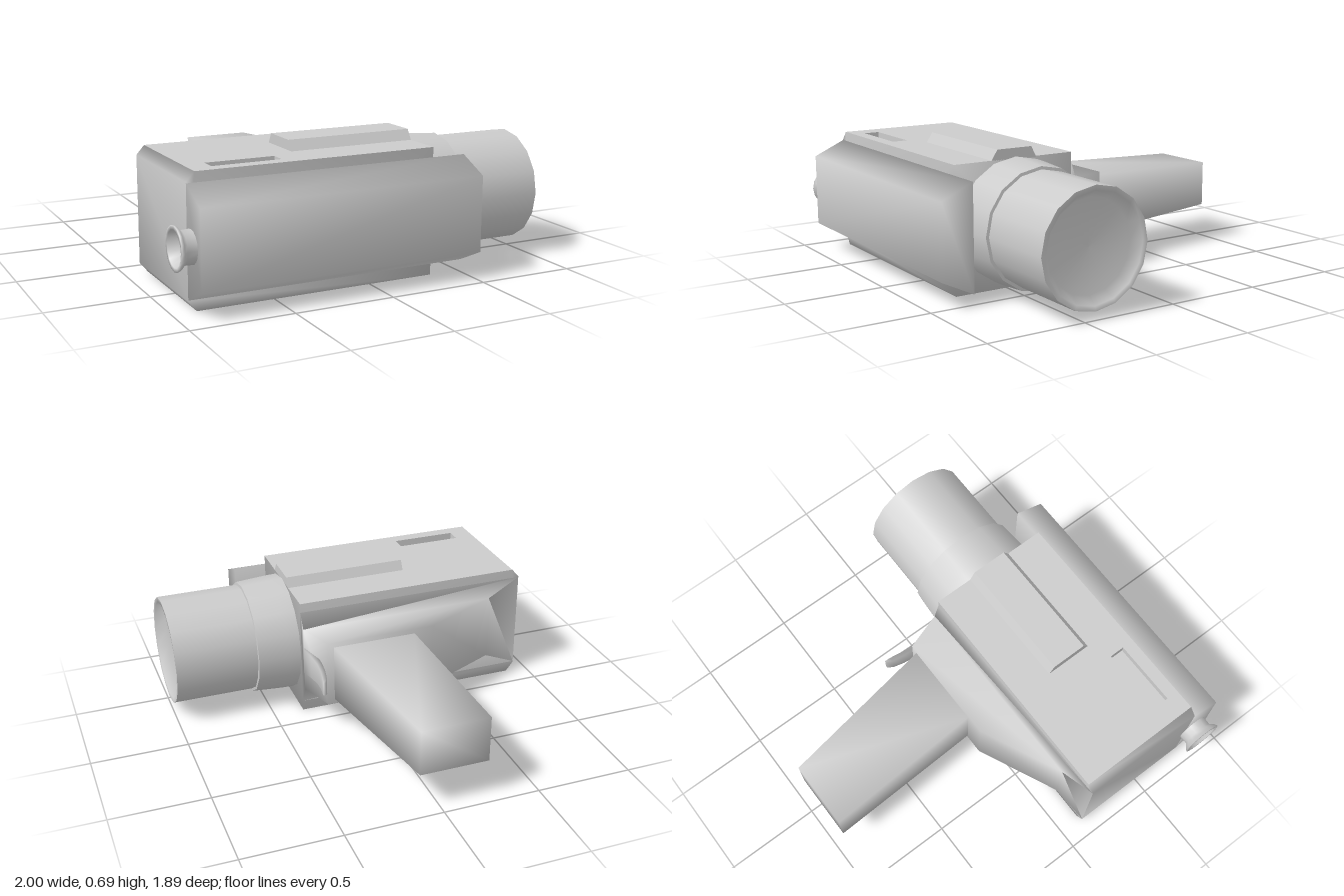
import * as THREE from 'three';

const material = new THREE.MeshStandardMaterial({ color: 0xcccccc, side: THREE.DoubleSide });

// Skin rings of [x, y, z], counter-clockwise seen from +z, ordered by rising z.
function loft(rings, skip = -1) {
  const n = rings[0].length, last = (rings.length - 1) * n, index = [];
  for (let r = 0; r < rings.length - 1; r++) {
    for (let i = 0; i < n; i++) {
      if (i === skip) continue;
      const j = (i + 1) % n, a = r * n, b = a + n;
      index.push(a + i, a + j, b + j, a + i, b + j, b + i);
    }
  }
  for (let i = 1; i < n - 1; i++) {
    index.push(0, i + 1, i, last, last + i, last + i + 1);
  }
  const g = new THREE.BufferGeometry();
  g.setAttribute('position', new THREE.Float32BufferAttribute(rings.flat(2), 3));
  g.setIndex(index);
  g.computeVertexNormals();
  return g;
}

const rect = (x0, x1, y0, y1, z) => [[x0, y0, z], [x1, y0, z], [x1, y1, z], [x0, y1, z]];

export function createModel() {
  const group = new THREE.Group();
  const add = (name, geometry) => {
    const mesh = new THREE.Mesh(geometry, material);
    mesh.name = name;
    group.add(mesh);
    return mesh;
  };
  // Turned part along the x axis, from [radius, x] points.
  const turned = (name, profile, sides, y, z) => {
    const mesh = add(name, new THREE.LatheGeometry(profile.map(p => new THREE.Vector2(...p)), sides));
    mesh.rotation.z = -Math.PI / 2;
    mesh.position.set(0, y, z);
  };

  // Main housing with bevelled rear corners; its top edge (5th) is left open
  const outline = [
    [-0.92, 0.05], [-0.88, 0], [0.34, 0], [0.34, 0.635], [-0.88, 0.635], [-0.92, 0.59],
  ];
  add('housing', loft([0.12, 0.78].map(z => outline.map(([x, y]) => [x, y, z])), 3));

  // Housing top with a cut-out for the slot
  const rectPath = (path, x0, x1, z0, z1) => path.setFromPoints(
    [[x0, -z1], [x1, -z1], [x1, -z0], [x0, -z0]].map(p => new THREE.Vector2(...p)));
  const top = rectPath(new THREE.Shape(), -0.88, 0.34, 0.12, 0.78);
  top.holes.push(rectPath(new THREE.Path(), -0.775, -0.43, 0.635, 0.715));
  const topMesh = add('housingTop', new THREE.ShapeGeometry(top));
  topMesh.rotation.x = -Math.PI / 2;
  topMesh.position.y = 0.635;

  // Slot pocket: a box without its lid, turned inside out
  const pocket = new THREE.BoxGeometry(0.345, 0.04, 0.08);
  pocket.setIndex(Array.from(pocket.index.array).filter((_, i) => i < 12 || i > 17).reverse());
  pocket.computeVertexNormals();
  add('slotPocket', pocket).position.set(-0.6025, 0.615, 0.675);

  // Side cover, tapering outwards
  add('sideCover', loft([
    rect(-0.92, 0.515, 0.055, 0.585, 0.78),
    rect(-0.92, 0.515, 0.135, 0.51, 0.945),
  ]));

  // Raised rail on top
  const rail = [[0.58, 0.63], [0.545, 0.685], [0.355, 0.685], [0.325, 0.63]];
  const railShape = new THREE.Shape(rail.map(([z, y]) => new THREE.Vector2(-z, y)));
  const railMesh = add('topRail', new THREE.ExtrudeGeometry(railShape, { depth: 0.655, bevelEnabled: false }));
  railMesh.rotation.y = Math.PI / 2;
  railMesh.position.x = -0.315;

  // Neck between housing and handle
  add('handleNeck', loft([
    rect(-0.31, 0.27, 0.145, 0.5, -0.105),
    rect(-0.73, 0.335, 0.145, 0.5, 0.09),
    rect(-0.92, 0.34, 0.055, 0.585, 0.12),
  ]));

  // Tapered handle
  add('handle', loft([
    rect(-0.25, 0.105, 0.2, 0.44, -0.945),
    rect(-0.21, 0.235, 0.17, 0.475, -0.1),
  ]));

  // Curved trigger blade: z, inner x, outer x, half height
  const blade = [
    [-0.24, 0.325, 0.338, 0.035], [-0.21, 0.31, 0.333, 0.045], [-0.15, 0.298, 0.322, 0.052],
    [-0.08, 0.292, 0.318, 0.058], [0, 0.293, 0.326, 0.065], [0.08, 0.3, 0.341, 0.072],
  ];
  add('trigger', loft(blade.map(([z, x0, x1, h]) => rect(x0, x1, 0.322 - h, 0.322 + h, z))));

  // Front collar and hollow-ended barrel
  turned('collar', [[0.315, 0.33], [0.313, 0.4], [0.302, 0.565]], 16, 0.328, 0.443);
  turned('collarFace', [[0.302, 0.565], [0.285, 0.567]], 16, 0.328, 0.443);
  turned('barrel', [[0.287, 0.56], [0.287, 1]], 16, 0.328, 0.443);
  turned('barrelMouth', [[0.287, 1], [0.262, 0.998], [0.225, 0.95], [0, 0.945]], 16, 0.328, 0.443);

  // Flared rear connector with an open mouth
  turned('rearConnector', [
    [0, -0.94], [0.06, -0.94], [0.085, -1], [0.105, -1], [0.098, -0.985], [0.078, -0.965], [0.08, -0.91],
  ], 16, 0.315, 0.83);

  return group;
}
